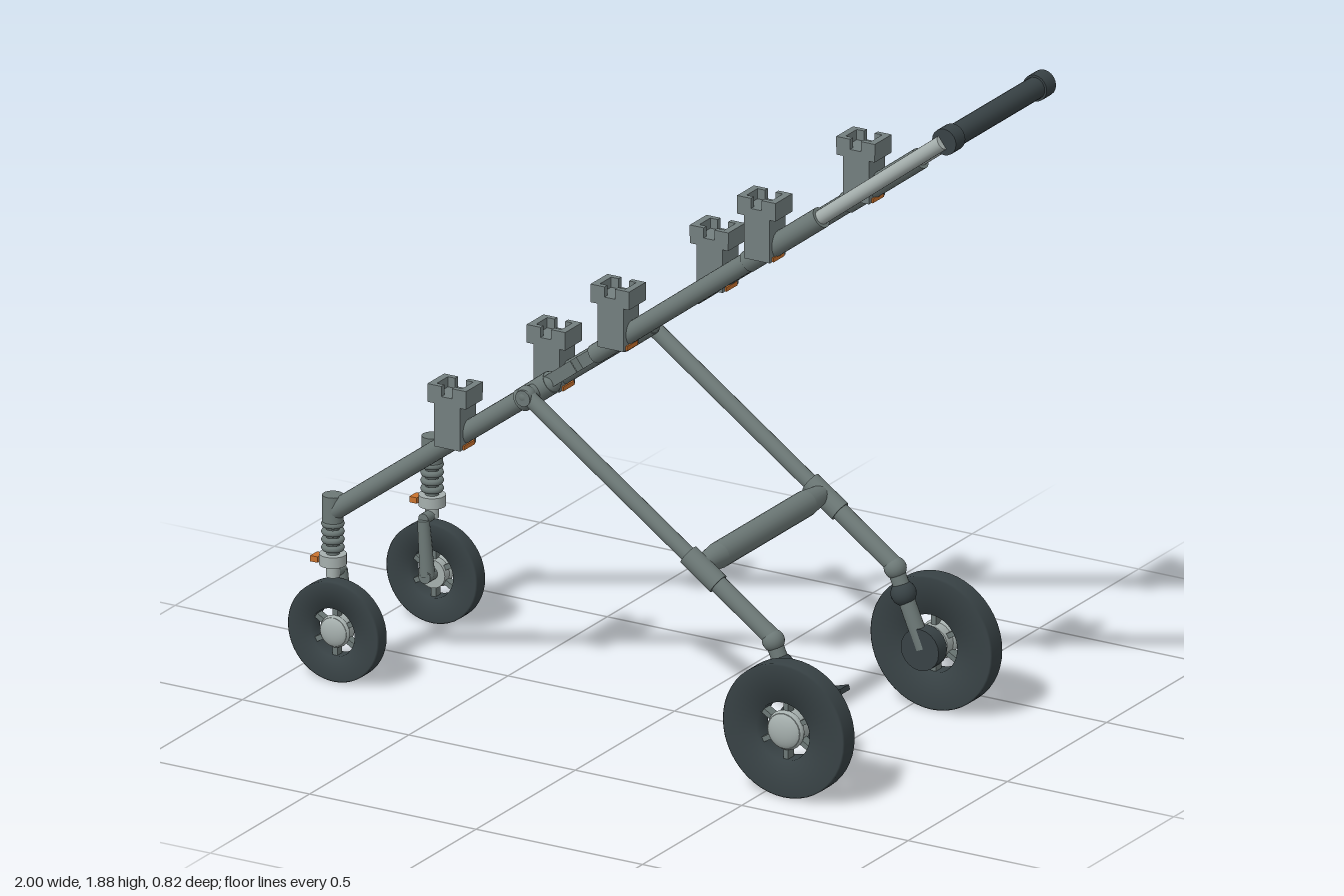
import * as THREE from 'three';

const mat = (name, color) => {
  const m = new THREE.MeshStandardMaterial({ color });
  m.name = name;
  return m;
};

export function createModel() {
  const model = new THREE.Group();
  const frame = mat('frame grey', 0x6c7876);
  const bracket = mat('bracket grey', 0x737f7f);
  const steel = mat('light steel', 0xa6b0ae);
  const rubber = mat('dark rubber', 0x384245);
  const orange = mat('orange', 0xc8722e);
  const V = (x, y, z) => new THREE.Vector3(x, y, z);

  const add = (name, geo, material, parent = model) => {
    const m = new THREE.Mesh(geo, material);
    m.name = name;
    parent.add(m);
    return m;
  };
  // Round bar between two points, optionally tapered
  const bar = (name, a, b, r, material, r2 = r) => {
    const d = b.clone().sub(a);
    const m = add(name, new THREE.CylinderGeometry(r2, r, d.length(), 20), material);
    m.position.copy(a).add(b).multiplyScalar(0.5);
    m.quaternion.setFromUnitVectors(V(0, 1, 0), d.normalize());
    return m;
  };
  const ball = (name, p, r, material) => {
    const m = add(name, new THREE.SphereGeometry(r, 20, 14), material);
    m.position.copy(p);
    return m;
  };
  const box = (name, p, w, h, d, material, parent) => {
    const m = add(name, new THREE.BoxGeometry(w, h, d), material, parent);
    m.position.copy(p);
    return m;
  };

  // Open tyre ring, spokes and a domed hub, axis along z
  const wheel = (name, p, R, hole, width, hubR, s) => {
    const g = new THREE.Group();
    g.name = name;
    g.position.copy(p);
    const h = width / 2, e = 0.004;
    const pts = [[hole, -h], [R - e, -h], [R, -h + e], [R, h - e], [R - e, h], [hole, h], [hole, -h]];
    const tyre = new THREE.LatheGeometry(pts.map(q => new THREE.Vector2(...q)), 48);
    add('tyre', tyre.rotateX(Math.PI / 2), rubber, g);
    const core = new THREE.CylinderGeometry(hubR * 0.9, hubR * 0.9, width * 0.9, 24);
    add('hub', core.rotateX(Math.PI / 2), steel, g);
    const cap = add('hubCap', new THREE.SphereGeometry(hubR, 24, 14), steel, g);
    cap.scale.z = 0.45;
    cap.position.z = s * h * 0.5;
    for (let i = 0; i < 6; i++) {
      const a = (i + 0.5) * Math.PI / 3, r = (hole + hubR) / 2;
      const spoke = box('spoke', V(Math.cos(a) * r, Math.sin(a) * r, 0),
        hole - hubR + 0.02, 0.014, width * 0.5, frame, g);
      spoke.rotation.z = a;
    }
    model.add(g);
  };

  // Hollow T-shaped holder with a notched rim
  const holder = (x, y, z) => {
    const g = new THREE.Group();
    g.name = 'holder';
    g.position.set(x, y, z);
    box('holderBody', V(0, 0.06, 0), 0.078, 0.12, 0.08, bracket, g);
    box('rimBase', V(0, 0.131, 0), 0.115, 0.022, 0.085, bracket, g);
    for (const i of [-1, 1]) {
      box('rimEnd', V(i * 0.048, 0.155, 0), 0.02, 0.03, 0.085, bracket, g);
      for (const k of [-1, 1])
        box('rimSide', V(i * 0.03, 0.155, k * 0.035), 0.028, 0.03, 0.015, bracket, g);
    }
    box('clampTab', V(0.0395, 0.006, 0), 0.008, 0.012, 0.055, orange, g);
    box('clampTab', V(-0.0395, 0.022, 0), 0.008, 0.044, 0.055, orange, g);
    model.add(g);
  };

  for (const s of [1, -1]) {
    const z = s * 0.25, zl = s * 0.307;

    // Sloping side rail
    bar('lowerRail', V(-0.875, 0.465, z), V(-0.22, 0.95, z), 0.026, frame);
    bar('railCollar', V(-0.31, 0.88, z), V(-0.22, 0.948, z), 0.031, frame);
    ball('railEnd', V(-0.225, 0.945, z), 0.03, frame);
    bar('upperRail', V(-0.09, 1.05, z), V(0.59, 1.56, z), 0.026, frame);
    bar('railSleeve', V(0.37, 1.395, z), V(0.59, 1.56, z), 0.029, frame);
    bar('handleTube', V(0.57, 1.545, z), V(0.955, 1.838, z), 0.02, steel);

    // Cranked latch between the two rails
    const slope = Math.atan2(0.51, 0.68);
    box('latchLower', V(-0.185, 0.98, z + 0.013), 0.11, 0.035, 0.014, frame).rotation.z = slope;
    box('latchStep', V(-0.148, 1.008, z), 0.016, 0.035, 0.044, frame).rotation.z = slope;
    box('latchUpper', V(-0.11, 1.036, z - 0.017), 0.1, 0.035, 0.014, frame).rotation.z = slope;

    for (const [x, y] of [[-0.51, 0.72], [-0.02, 1.09], [0.42, 1.42]]) holder(x, y, z);

    // Rear leg with pivot, collar and swing arm
    bar('legPivot', V(-0.26, 0.92, s * 0.23), V(-0.26, 0.92, s * 0.33), 0.022, frame);
    bar('rearLeg', V(-0.265, 0.925, zl), V(0.48, 0.395, zl), 0.021, frame);
    ball('legTop', V(-0.262, 0.923, zl), 0.025, frame);
    bar('legCollar', V(0.225, 0.577, zl), V(0.315, 0.513, zl), 0.029, frame);
    bar('lowerLeg', V(0.3, 0.524, zl), V(0.48, 0.395, zl), 0.024, frame);
    ball('legKnuckle', V(0.48, 0.39, zl), 0.03, frame);
    bar('swingArm', V(0.48, 0.39, zl), V(0.565, 0.185, zl), 0.022, frame);
    ball('damper', V(0.505, 0.325, zl), 0.034, rubber);
    bar('axleHousing', V(0.565, 0.185, s * 0.288), V(0.565, 0.185, s * 0.33), 0.057, rubber);
    bar('rearAxle', V(0.565, 0.185, s * 0.3), V(0.565, 0.185, s * 0.38), 0.018, frame);
    wheel('rearWheel', V(0.565, 0.185, s * 0.372), 0.183, 0.08, 0.058, 0.054, s);

    // Front caster with spring
    const x = -0.877;
    bar('casterHead', V(x, 0.435, z), V(x, 0.51, z), 0.028, frame);
    bar('springCore', V(x, 0.34, z), V(x, 0.44, z), 0.018, frame);
    for (let i = 0; i < 4; i++) {
      const coil = add('springCoil', new THREE.TorusGeometry(0.022, 0.009, 8, 24), frame);
      coil.rotation.x = Math.PI / 2;
      coil.position.set(x, 0.365 + i * 0.022, z);
    }
    bar('casterCollar', V(x, 0.318, z), V(x, 0.348, z), 0.036, steel);
    box('casterLock', V(-0.924, 0.328, z), 0.022, 0.016, 0.035, orange);
    bar('casterStem', V(x, 0.285, z), V(x, 0.32, z), 0.018, steel);
    bar('forkBridge', V(x, 0.293, z), V(x, 0.293, s * 0.205), 0.015, frame);
    bar('forkArm', V(x, 0.29, s * 0.206), V(-0.865, 0.14, s * 0.206), 0.016, frame, 0.02);
    bar('frontAxle', V(-0.865, 0.14, s * 0.19), V(-0.865, 0.14, s * 0.25), 0.018, frame);
    wheel('frontWheel', V(-0.865, 0.138, s * 0.248), 0.137, 0.066, 0.046, 0.044, s);

    // Grip end collar and tapered crossbar end
    bar('gripCollar', V(0.96, 1.84, s * 0.205), V(0.96, 1.84, s * 0.252), 0.036, rubber);
    bar('crossbarEnd', V(0.262, 0.553, s * 0.22), V(0.262, 0.553, s * 0.305), 0.035, frame, 0.024);
  }

  // Crossbars and handle grip
  bar('frontCrossbar', V(-0.877, 0.465, -0.25), V(-0.877, 0.465, 0.25), 0.023, frame);
  bar('rearCrossbar', V(0.262, 0.553, -0.22), V(0.262, 0.553, 0.22), 0.035, frame);
  bar('handleGrip', V(0.96, 1.84, -0.22), V(0.96, 1.84, 0.22), 0.03, rubber);

  // Brake pedal on the left rear wheel only
  bar('brakeLever', V(0.54, 0.25, 0.3), V(0.66, 0.285, 0.3), 0.012, rubber);
  box('brakePedal', V(0.67, 0.288, 0.305), 0.05, 0.014, 0.045, rubber).rotation.z = 0.28;

  return model;
}
